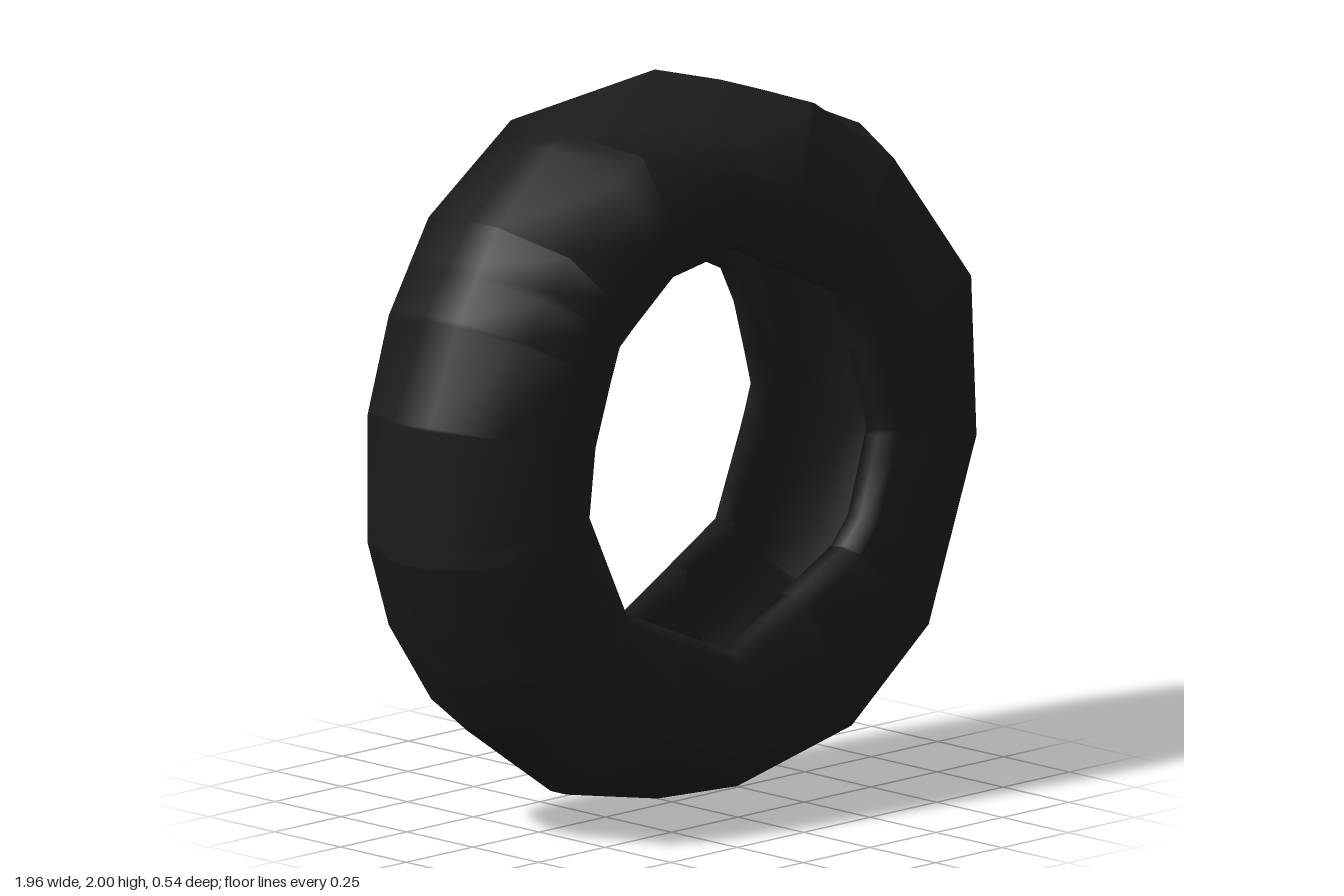
import * as THREE from 'three';

// Ring outlines, counter-clockwise, relative to the hub.
const tread = [
  [0.975, -0.09], [0.945, 0.2], [0.905, 0.38], [0.63, 0.775], [0.38, 0.885], [0.28, 0.92], [0, 1],
  [-0.46, 0.865], [-0.69, 0.695], [-0.86, 0.47], [-0.98, 0.2], [-0.98, -0.19],
  [-0.9, -0.37], [-0.81, -0.54], [-0.7, -0.7], [-0.38, -0.92], [0, -1],
  [0.47, -0.875], [0.77, -0.63], [0.96, -0.19],
];
const frontShoulder = [
  [0.9, -0.1], [0.88, 0.34], [0.59, 0.71], [0.29, 0.912], [-0.36, 0.87], [-0.63, 0.64],
  [-0.79, 0.43], [-0.9, 0.17], [-0.9, -0.18], [-0.76, -0.5], [-0.5, -0.75],
  [0, -0.915], [0.43, -0.82], [0.72, -0.59],
];
const backShoulder = [
  [0.9, -0.1], [0.87, 0.34], [0.59, 0.72], [0.25, 0.915], [-0.36, 0.89], [-0.67, 0.675],
  [-0.82, 0.43], [-0.9, 0.17], [-0.9, -0.18], [-0.82, -0.42], [-0.66, -0.65],
  [-0.36, -0.86], [0, -0.915], [0.43, -0.82], [0.72, -0.59],
];
const frontBead = [
  [0.55, -0.03], [0.46, 0.26], [0.41, 0.36], [0, 0.555], [-0.23, 0.515], [-0.44, 0.35],
  [-0.52, 0.1], [-0.545, -0.08], [-0.4, -0.38], [0, -0.55], [0.42, -0.33], [0.48, -0.26],
];
const backBead = [
  [0.53, 0.01], [0.46, 0.26], [0.41, 0.36], [0, 0.555], [-0.42, 0.31],
  [-0.5, 0.07], [-0.53, -0.07], [-0.39, -0.37], [0, -0.55], [0.4, -0.32],
];

// Distance from the hub to an outline along the direction a.
function reach(outline, a) {
  const dx = Math.cos(a), dy = Math.sin(a);
  let best = 0;
  outline.forEach(([px, py], i) => {
    const [qx, qy] = outline[(i + 1) % outline.length];
    const ex = qx - px, ey = qy - py;
    const den = dx * ey - dy * ex;
    if (Math.abs(den) < 1e-9) return;
    const dist = (px * ey - py * ex) / den;
    const along = (px * dy - py * dx) / den;
    if (dist > 0 && along > -1e-6 && along < 1 + 1e-6) best = Math.max(best, dist);
  });
  return best;
}

// Sidewall, bead and hollow inside: [0 at bead .. 1 at tread, distance from the middle]
const wall = [
  [0.4, 0.271], [0.08, 0.271], [0, 0.23],
  [0.02, 0.175], [0.2, 0.225], [0.45, 0.235], [0.78, 0.21], [0.9, 0.06],
];

// One side of the casing at angle a, from shoulder to inside, as [radius, z].
function sideAt(a, shoulder, bead, sign) {
  const outer = reach(tread, a), inner = reach(bead, a);
  return [
    [reach(shoulder, a), 0.248 * sign],
    ...wall.map(([t, z]) => [THREE.MathUtils.lerp(inner, outer, t), z * sign]),
  ];
}

// Closed loop: crest, back wall out and in, front wall in and out.
function sectionAt(a) {
  // The crest narrows to a ridge at the top and bottom
  const half = 0.005 + 0.11 * Math.abs(Math.cos(a)) + 0.045 * Math.cos(a);
  const mid = -0.06 * Math.abs(Math.sin(a)) ** 3;
  const crest = reach(tread, a);
  return [
    [crest, mid + half], [crest, mid - half],
    ...sideAt(a, backShoulder, backBead, -1),
    ...sideAt(a, frontShoulder, frontBead, 1).reverse(),
  ];
}

function tyreGeometry() {
  const angles = [...tread, ...frontShoulder, ...backShoulder, ...frontBead, ...backBead]
    .map(([x, y]) => Math.atan2(y, x)).sort((a, b) => a - b)
    .filter((a, i, all) => i === 0 || a - all[i - 1] > 0.004);
  const n = angles.length, m = 2 * (wall.length + 2);
  const positions = [], index = [];
  angles.forEach((a, i) => {
    sectionAt(a).forEach(([r, z], j) => {
      positions.push(r * Math.cos(a), r * Math.sin(a), z);
      const i2 = (i + 1) % n, j2 = (j + 1) % m;
      const p = i * m + j, q = i * m + j2, s = i2 * m + j2, u = i2 * m + j;
      index.push(p, q, s, p, s, u);
    });
  });
  const geometry = new THREE.BufferGeometry();
  geometry.setAttribute('position', new THREE.Float32BufferAttribute(positions, 3));
  geometry.setIndex(index);
  geometry.computeVertexNormals();
  return geometry;
}

export function createModel() {
  const group = new THREE.Group();
  group.name = 'wornTyre';
  const rubber = new THREE.MeshStandardMaterial({ color: 0x1c1c1c });
  rubber.name = 'black rubber';

  // One continuous casing: tread, sidewalls, beads and hollow inside
  const tyre = new THREE.Mesh(tyreGeometry(), rubber);
  tyre.name = 'tyreCasing';
  tyre.position.y = 1;
  group.add(tyre);
  return group;
}
